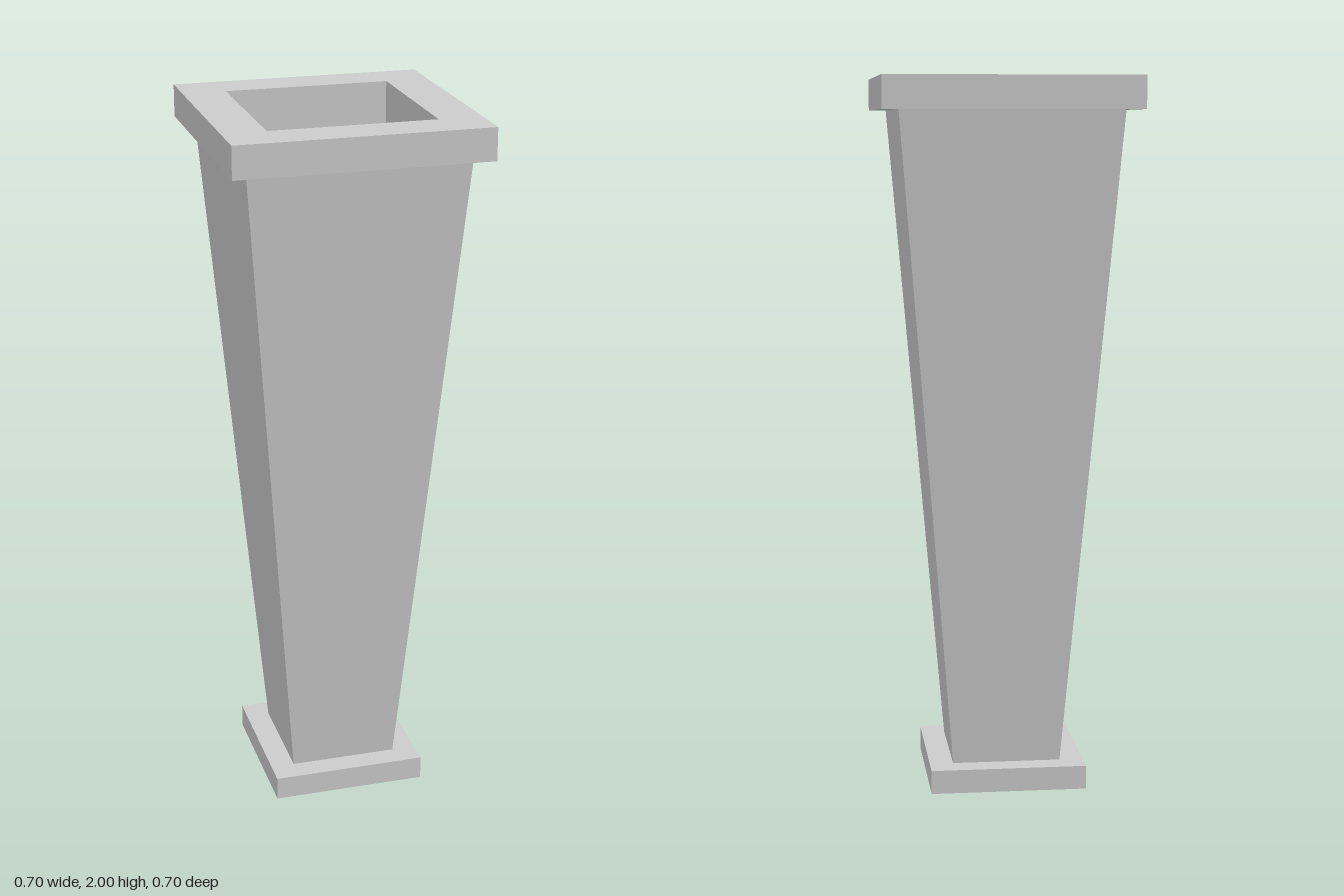
import * as THREE from 'three';

const material = new THREE.MeshStandardMaterial({ color: 0xcccccc, flatShading: true });

// Square solid from a profile of [half width, height] points, outer side running upward
function squareTurned(name, profile) {
  const points = profile.map(([half, y]) => new THREE.Vector2(half * Math.SQRT2, y));
  const mesh = new THREE.Mesh(new THREE.LatheGeometry(points, 4, Math.PI / 4), material);
  mesh.name = name;
  return mesh;
}

export function createModel() {
  const planter = new THREE.Group();
  planter.name = 'tallPlanter';

  // Square foot plate
  planter.add(squareTurned('base', [[0, 0], [0.22, 0], [0.22, 0.067], [0, 0.067]]));

  // Tapered body, narrow at the foot
  planter.add(squareTurned('body', [[0.153, 0.067], [0.305, 1.91]]));

  // Overhanging rim that turns inward into a straight-sided well with a flat floor
  planter.add(squareTurned('rimAndWell', [
    [0.305, 1.91], [0.352, 1.91], [0.352, 2], [0.231, 2], [0.231, 1.77], [0, 1.77],
  ]));

  return planter;
}
